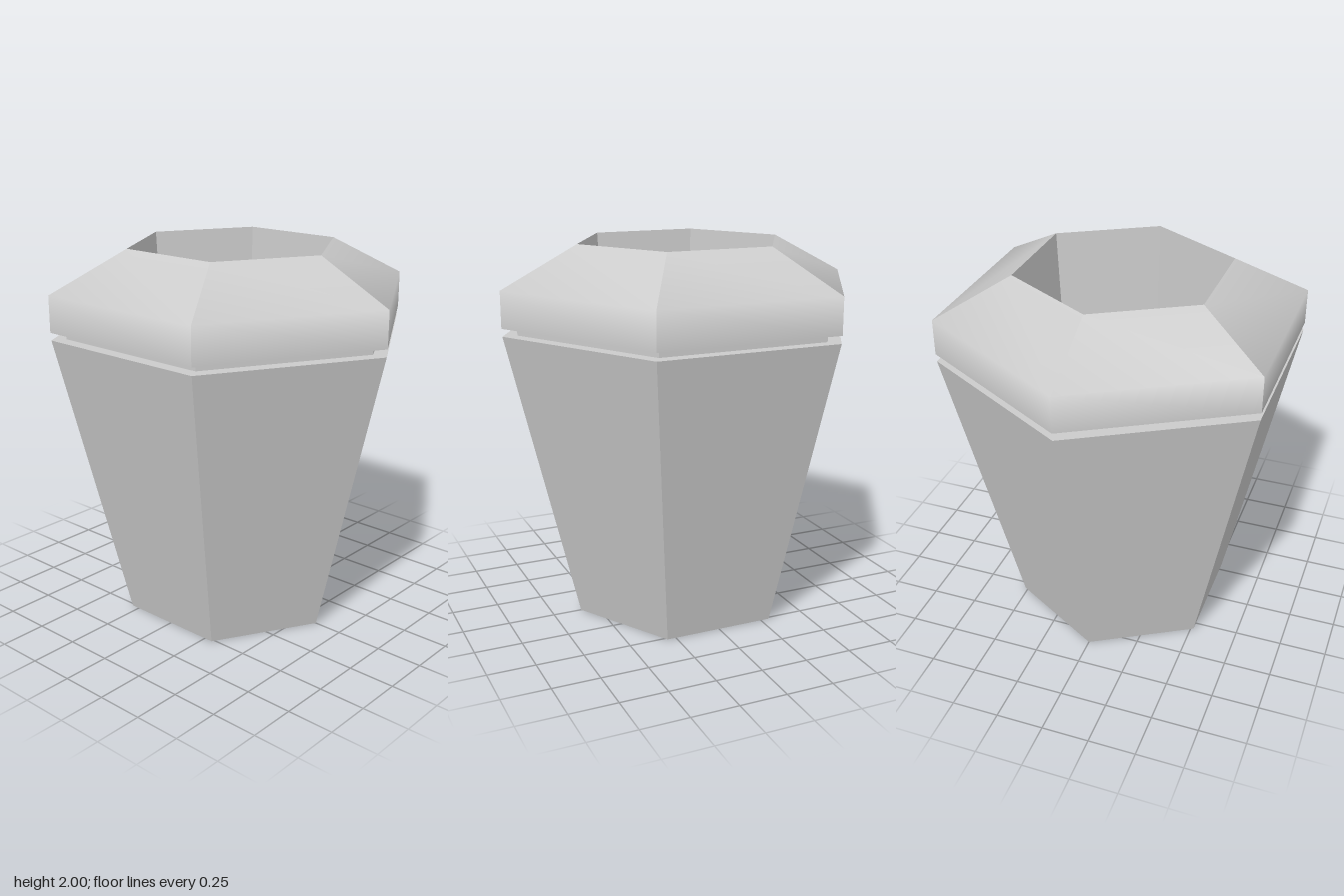
import * as THREE from 'three';
import { mergeGeometries } from 'three/addons/utils/BufferGeometryUtils.js';

const SIDES = 6;
const STEP = (Math.PI * 2) / SIDES;

// Six one-segment lathe panels: smooth along each panel, sharp at the corners.
// Profile is [radius, y]; the face looks outward when the profile runs upward.
function hexBand(profile) {
  const points = profile.map(([r, y]) => new THREE.Vector2(r, y));
  const panels = [];
  for (let i = 0; i < SIDES; i++) {
    const panel = new THREE.LatheGeometry(points, 1, Math.PI / 2 + i * STEP, STEP);
    panel.computeVertexNormals();
    panels.push(panel);
  }
  return mergeGeometries(panels);
}

// Flat hexagon at height y, facing up or down
function hexCap(r, y, up) {
  const cap = new THREE.CircleGeometry(r, SIDES);
  cap.rotateX(up ? -Math.PI / 2 : Math.PI / 2);
  cap.translate(0, y, 0);
  return cap;
}

export function createModel() {
  const group = new THREE.Group();
  const material = new THREE.MeshStandardMaterial({ color: 0xcccccc });
  const add = (name, ...parts) => {
    const mesh = new THREE.Mesh(mergeGeometries(parts), material);
    mesh.name = name;
    group.add(mesh);
  };

  // Tapered outer body with its base and top ledge
  add('body',
    hexCap(0.595, 0, false),
    hexBand([[0.595, 0], [0.967, 1.56]]),
    hexBand([[0.967, 1.56], [0.89, 1.56]]));

  // Recessed groove between body and rim
  add('neck', hexBand([[0.89, 1.56], [0.89, 1.6]]));

  // Rim: flat underside, then an upright band blending into the sloped top
  add('rim',
    hexBand([[0.89, 1.6], [0.97, 1.6]]),
    hexBand([[0.97, 1.6], [0.97, 1.79], [0.565, 2]]));

  // Hollow inside, narrowing down to a floor
  add('innerWall', hexBand([[0.565, 2], [0.45, 0.15]]));
  add('innerFloor', hexCap(0.45, 0.15, true));

  return group;
}
